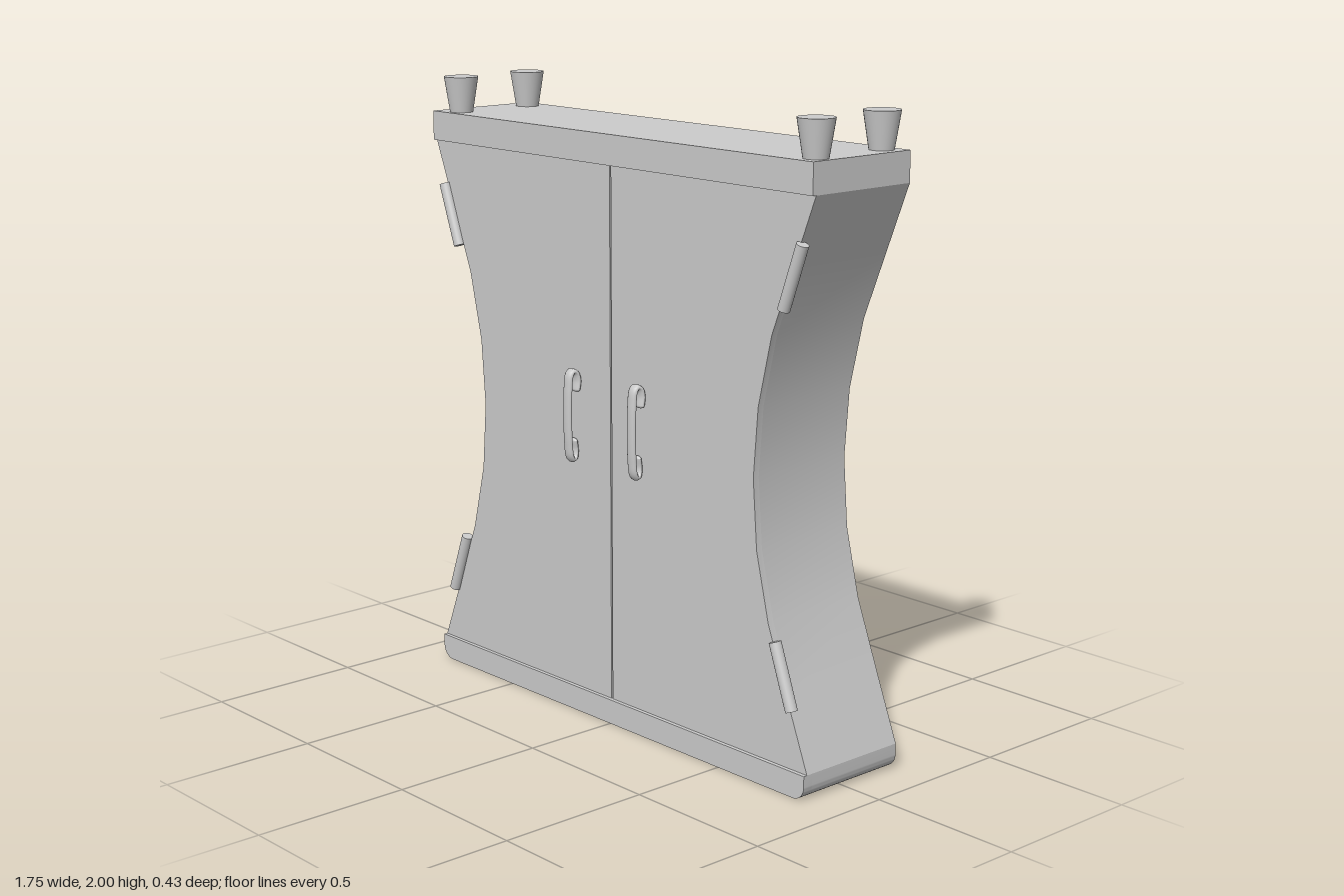
import * as THREE from 'three';
import { toCreasedNormals } from 'three/addons/utils/BufferGeometryUtils.js';

const material = new THREE.MeshStandardMaterial({ color: 0xcccccc });
const CENTRE = -0.005, BACK = -0.217, DOOR_FRONT = 0.167, RAIL_FRONT = 0.18;
const TOP = 1.885, RAIL_TOP = 1.79, RAIL_BOTTOM = 0.08, HALF = 0.87, CORNER = 0.045;

// Waisted edge, [half width, height] from the bottom rail to the top rail
const WAIST = [
  [HALF, 0.08], [0.786, 0.29], [0.702, 0.505], [0.65, 0.717], [0.633, 0.934],
  [0.65, 1.15], [0.702, 1.37], [0.786, 1.58], [HALF, 1.79],
];

function add(parent, name, geometry, x = 0, y = 0, z = 0) {
  const mesh = new THREE.Mesh(geometry, material);
  mesh.name = name;
  mesh.position.set(x, y, z);
  parent.add(mesh);
  return mesh;
}

function slab(shape, z0, z1) {
  const geometry = new THREE.ExtrudeGeometry(shape, { depth: z1 - z0, bevelEnabled: false, curveSegments: 7 });
  geometry.translate(CENTRE, 0, z0);
  return toCreasedNormals(geometry, 0.3);
}

// Bottom outline with rounded corners, left open at the upper right
function roundedBase() {
  const s = new THREE.Shape();
  s.moveTo(-HALF, RAIL_BOTTOM);
  s.lineTo(-HALF, CORNER);
  s.absarc(-HALF + CORNER, CORNER, CORNER, Math.PI, Math.PI * 1.5, false);
  s.lineTo(HALF - CORNER, 0);
  s.absarc(HALF - CORNER, CORNER, CORNER, Math.PI * 1.5, Math.PI * 2, false);
  s.lineTo(HALF, RAIL_BOTTOM);
  return s;
}

function bodyShape() {
  const s = roundedBase();
  WAIST.slice(1).forEach(([x, y]) => s.lineTo(x, y));
  s.lineTo(HALF, TOP);
  s.lineTo(-HALF, TOP);
  [...WAIST].reverse().slice(0, -1).forEach(([x, y]) => s.lineTo(-x, y));
  return s;
}

function doorShape(side) {
  const gap = 0.003;
  const points = [[gap, RAIL_BOTTOM], ...WAIST, [gap, RAIL_TOP]].map(([x, y]) => new THREE.Vector2(side * x, y));
  return new THREE.Shape(side > 0 ? points : points.reverse());
}

// Flattened bar whose two ends hook back to the door
function handle(parent, name, x) {
  const group = new THREE.Group();
  group.name = name;
  group.position.set(x, 0.985, 0);
  const hook = [
    [0.007, 0.085, 0.178], [0.007, 0.115, 0.174], [0.004, 0.138, 0.18],
    [0.001, 0.143, 0.19], [0, 0.13, 0.199], [0, 0.09, 0.204], [0, 0.04, 0.206],
  ];
  const points = [
    ...hook.map(([px, py, pz]) => new THREE.Vector3(px / 2, py, pz)),
    ...[...hook].reverse().map(([px, py, pz]) => new THREE.Vector3(-px / 2, -py, pz)),
  ];
  const bar = add(group, name + 'Bar', new THREE.TubeGeometry(new THREE.CatmullRomCurve3(points), 64, 0.009, 12));
  bar.scale.x = 2.1;
  // Rounded ends of the hooks
  for (const s of [1, -1]) {
    const end = add(group, name + 'End', new THREE.SphereGeometry(0.009, 12, 8), s * 0.007, s * 0.085, 0.178);
    end.scale.x = 2.1;
  }
  parent.add(group);
}

export function createModel() {
  const model = new THREE.Group();
  model.name = 'cabinet';

  // Carcass and the two rails that stand just proud of the doors
  add(model, 'carcass', slab(bodyShape(), BACK, 0.145));
  add(model, 'bottomRail', slab(roundedBase(), 0.145, RAIL_FRONT));
  add(model, 'topRail', new THREE.BoxGeometry(2 * HALF, TOP - RAIL_TOP, RAIL_FRONT - 0.145),
    CENTRE, (TOP + RAIL_TOP) / 2, (RAIL_FRONT + 0.145) / 2);

  // Pair of doors with a thin gap between them
  add(model, 'leftDoor', slab(doorShape(1), 0.145, DOOR_FRONT));
  add(model, 'rightDoor', slab(doorShape(-1), 0.145, DOOR_FRONT));

  handle(model, 'leftHandle', 0.135);
  handle(model, 'rightHandle', -0.168);

  // Hinge barrels lying along the sloping edges
  const hinge = new THREE.CylinderGeometry(0.019, 0.019, 0.21, 24);
  const hinges = [
    ['upperLeftHinge', 0.783, 1.55, -1], ['upperRightHinge', -0.795, 1.55, 1],
    ['lowerLeftHinge', 0.765, 0.36, 1], ['lowerRightHinge', -0.781, 0.36, -1],
  ];
  for (const [name, x, y, tilt] of hinges) {
    add(model, name, hinge, x, y, 0.17).rotation.z = tilt * 0.35;
  }

  // Tapered pegs on the top, slightly unevenly placed
  const peg = new THREE.CylinderGeometry(0.056, 0.036, 0.125, 32);
  const pegs = [
    ['backRightPeg', -0.79, -0.148], ['frontRightPeg', -0.79, 0.128],
    ['backLeftPeg', 0.802, -0.163], ['frontLeftPeg', 0.814, 0.118],
  ];
  for (const [name, x, z] of pegs) add(model, name, peg, x, 1.9375, z);

  return model;
}
